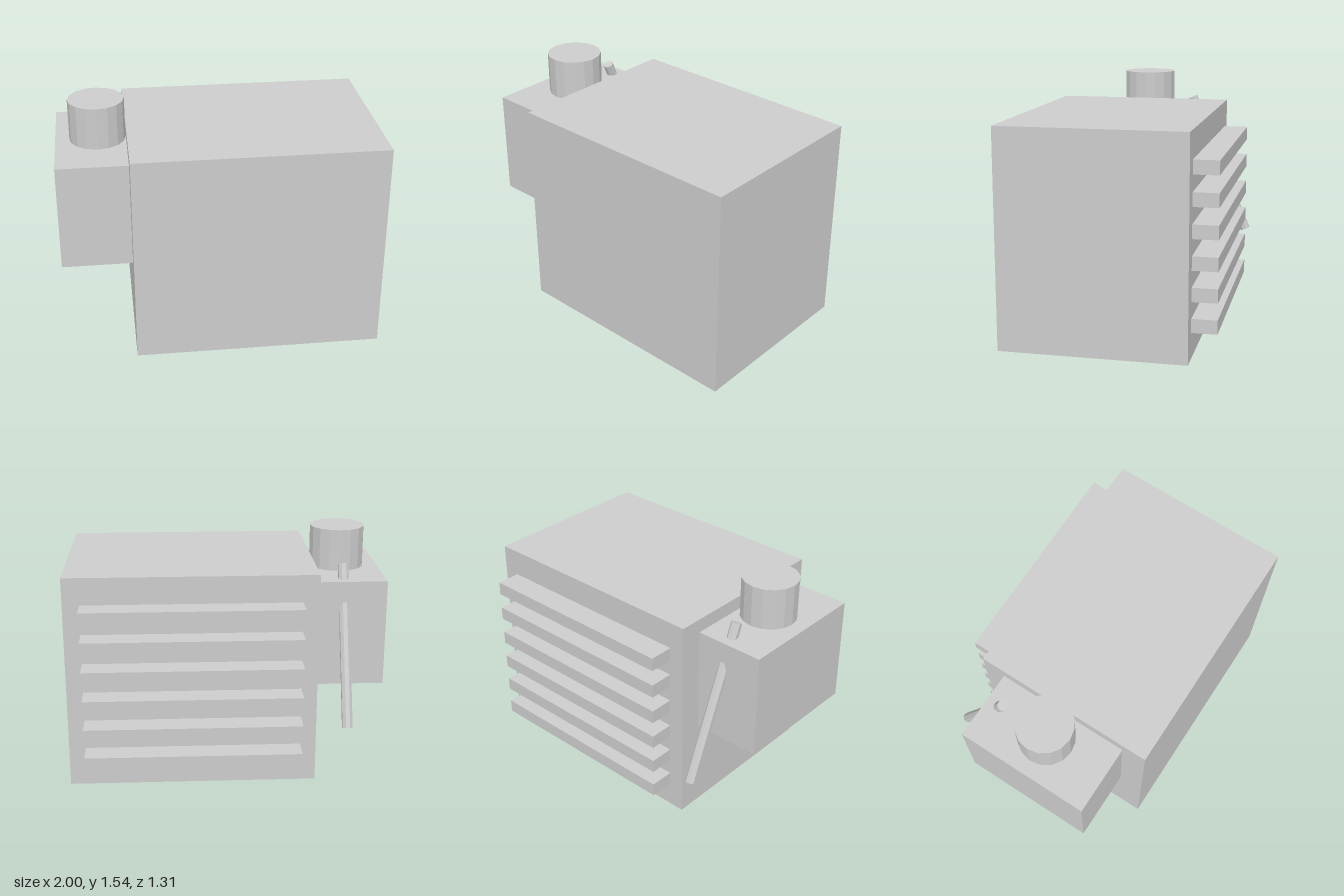
import * as THREE from 'three';

export function createModel() {
  const model = new THREE.Group();
  model.name = 'boxUnit';
  const grey = new THREE.MeshStandardMaterial({ color: 0xcccccc });
  grey.name = 'lightGrey';

  const add = (name, geometry) => {
    const mesh = new THREE.Mesh(geometry, grey);
    mesh.name = name;
    model.add(mesh);
    return mesh;
  };
  // Box given by its minimum and maximum corners
  const box = (name, [x0, y0, z0], [x1, y1, z1]) => {
    const mesh = add(name, new THREE.BoxGeometry(x1 - x0, y1 - y0, z1 - z0));
    mesh.position.set((x0 + x1) / 2, (y0 + y1) / 2, (z0 + z1) / 2);
  };
  // Faceted cylinder with flat-shaded sides
  const faceted = (radius, height, sides, turn = 0) => {
    const g = new THREE.CylinderGeometry(radius, radius, height, sides, 1, false, turn).toNonIndexed();
    g.computeVertexNormals();
    return g;
  };

  // Main housing and the smaller box on its right side
  box('mainHousing', [-0.56, 0, -0.5], [1, 1.36, 0.655]);
  box('sideBox', [-1, 0.597, -0.355], [-0.56, 1.272, 0.5]);

  // Horizontal cooling fins across the back
  for (let i = 0; i < 6; i++) {
    const y = 0.206 + i * 0.188;
    box(`backFin${i + 1}`, [-0.46, y - 0.043, -0.655], [0.895, y + 0.043, -0.5]);
  }

  // Round cap on top of the side box
  const cap = add('topCap', faceted(0.175, 0.265, 16));
  cap.position.set(-0.737, 1.4045, 0.078);

  // Slanted rod running down through the side box and out at the back
  const top = new THREE.Vector3(-0.737, 1.355, -0.232);
  const bottom = new THREE.Vector3(-0.737, 0.408, -0.625);
  const rod = add('slantedRod', faceted(0.034, top.distanceTo(bottom), 8, Math.PI / 8));
  rod.position.copy(top).add(bottom).multiplyScalar(0.5);
  rod.rotation.x = Math.atan2(top.z - bottom.z, top.y - bottom.y);

  return model;
}
